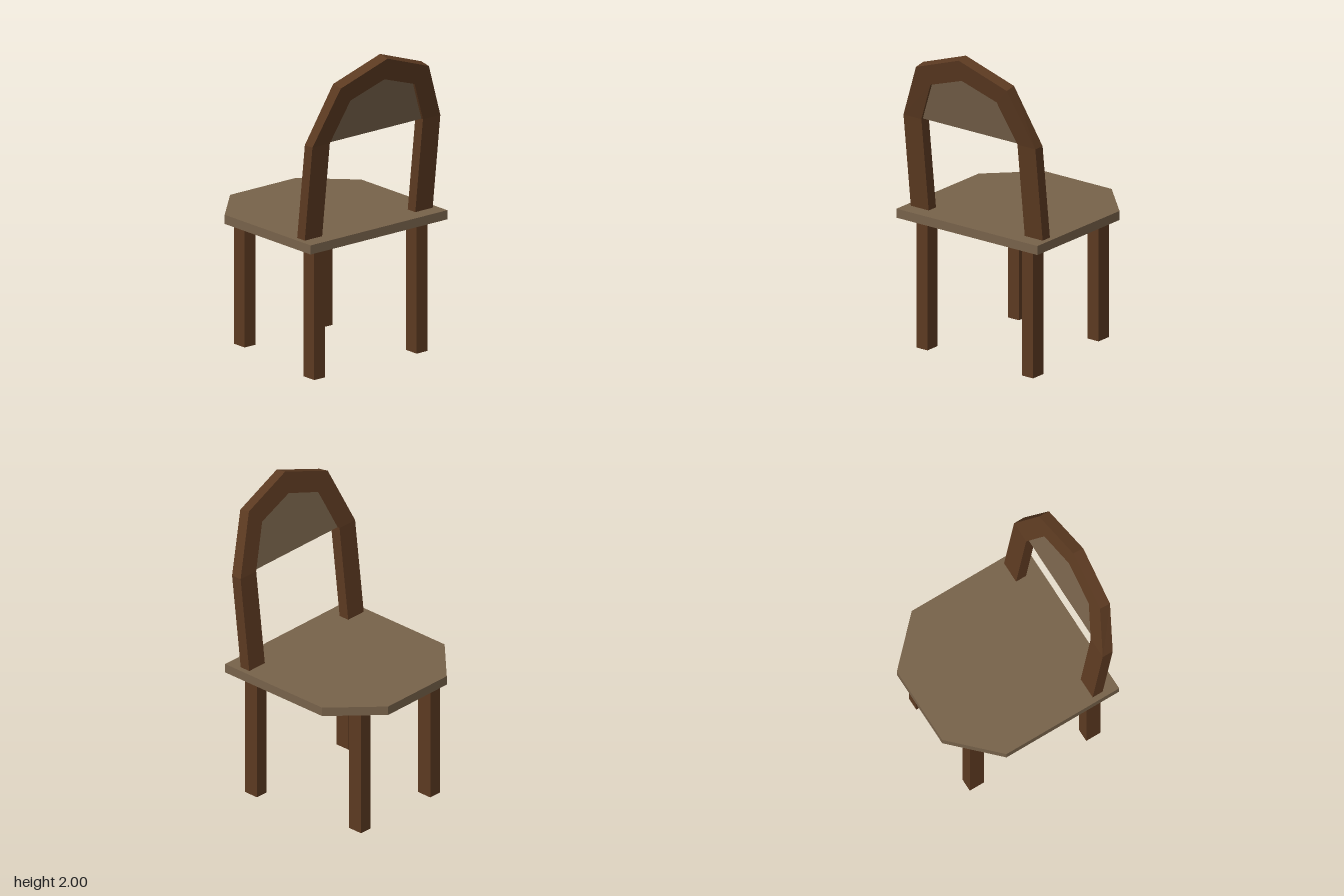
import * as THREE from 'three';

const BEND = 1.5; // height where the backrest tilts further

// z of the backrest's sitting face at a given height
const backZ = (y) => (y < BEND ? 0.405 + (y - BEND) * 0.118 : 0.405 + (y - BEND) * 0.21);

// Skins a list of four-cornered cross-sections into a closed bar
function skin(rings) {
  const pos = rings.flat(2);
  const index = [];
  for (let r = 0; r < rings.length - 1; r++) {
    for (let i = 0; i < 4; i++) {
      const a = r * 4 + i, b = r * 4 + ((i + 1) % 4);
      index.push(a, b, b + 4, a, b + 4, a + 4);
    }
  }
  const e = (rings.length - 1) * 4;
  index.push(0, 3, 2, 0, 2, 1, e, e + 1, e + 2, e, e + 2, e + 3);
  const g = new THREE.BufferGeometry();
  g.setAttribute('position', new THREE.Float32BufferAttribute(pos, 3));
  g.setIndex(index);
  const flat = g.toNonIndexed();
  flat.computeVertexNormals();
  return flat;
}

const polygon = (pts) => new THREE.Shape(pts.map(([x, y]) => new THREE.Vector2(x, y)));

// Mirrors the left half of an outline (last point on the centre line)
const mirrored = (half) => [...half, ...half.slice(0, -1).reverse().map(([x, y]) => [-x, y])];

export function createModel() {
  const chair = new THREE.Group();
  chair.name = 'chair';
  const darkWood = new THREE.MeshStandardMaterial({ color: 0x5c3a21, flatShading: true });
  const lightWood = new THREE.MeshStandardMaterial({ color: 0x77624a, flatShading: true });
  const add = (name, geometry, material) => {
    const mesh = new THREE.Mesh(geometry, material);
    mesh.name = name;
    chair.add(mesh);
    return mesh;
  };

  // Seat: board with two clipped corners
  const seatShape = polygon([
    [-0.543, -0.5], [0.543, -0.5], [0.543, 0.303], [0.26, 0.585], [-0.26, 0.585], [-0.543, 0.303],
  ]);
  const seat = new THREE.ExtrudeGeometry(seatShape, { depth: 0.058, bevelEnabled: false });
  seat.rotateX(-Math.PI / 2);
  seat.translate(0, 0.835, 0);
  add('seat', seat, lightWood);

  // Legs: set closer together at the clipped end
  for (const side of [-1, 1]) {
    for (const [end, x, z] of [['backrest', 0.407, 0.374], ['clipped', 0.307, -0.394]]) {
      const leg = add(`${side > 0 ? 'left' : 'right'}${end === 'backrest' ? 'Backrest' : 'Clipped'}EndLeg`,
        new THREE.BoxGeometry(0.085, 0.826, 0.1), darkWood);
      leg.position.set(side * x, 0.413, z);
    }
  }

  // Backrest frame: bent arch of rectangular section
  const outer = mirrored([[-0.508, 0.89], [-0.508, BEND], [-0.35, 1.875], [0, 2]]);
  const inner = mirrored([[-0.37, 0.89], [-0.37, BEND], [-0.255, 1.775], [0, 1.862]]);
  const near = ([x, y]) => [x, y, backZ(y)];
  const far = ([x, y]) => [x, y > BEND ? y - 0.013 : y, backZ(y) + 0.071];
  add('backrestFrame', skin(outer.map((o, i) => [near(o), far(o), far(inner[i]), near(inner[i])])), darkWood);

  // Backrest panel: thin board filling the top of the arch, leaning with it
  const panelShape = polygon(mirrored([[-0.372, BEND], [-0.262, 1.78], [0, 1.868]]).reverse());
  const panel = new THREE.ExtrudeGeometry(panelShape, { depth: 0.04, bevelEnabled: false });
  const p = panel.attributes.position;
  for (let i = 0; i < p.count; i++) p.setZ(i, p.getZ(i) + backZ(p.getY(i)) + 0.016);
  panel.computeVertexNormals();
  add('backrestPanel', panel, lightWood);

  return chair;
}
